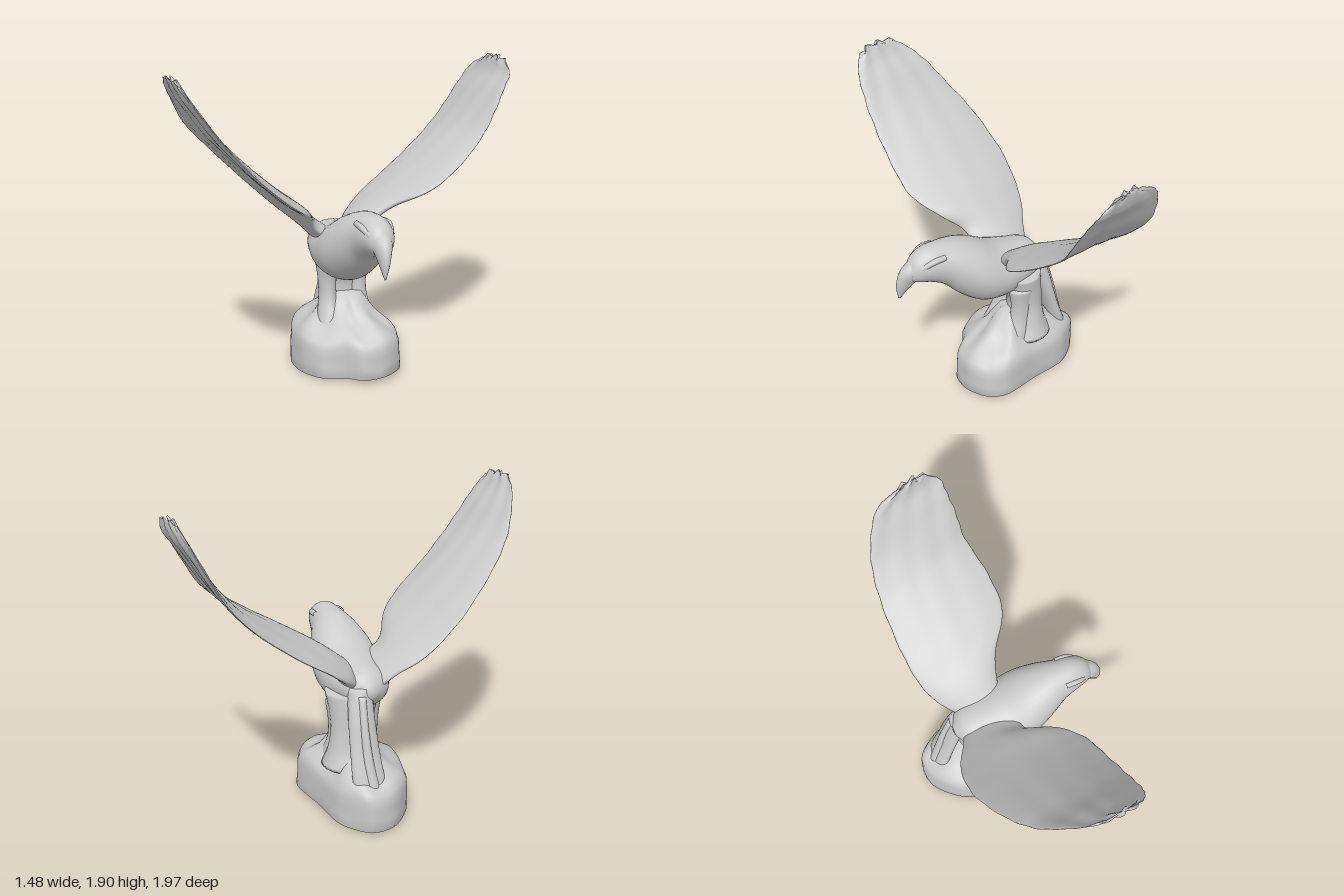
import * as THREE from 'three';

const V = (x, y, z) => new THREE.Vector3(x, y, z);
const material = new THREE.MeshStandardMaterial({ color: 0xcccccc, side: THREE.DoubleSide });
// Horizontal heading of the bird and the direction across it
const forward = V(0.77, 0, 0.64).normalize();
const across = V(-0.64, 0, 0.77).normalize();
const up = V(0, 1, 0);

// Skin a list of equal-sized closed rings, cap both ends, and turn faces outward
function loft(name, rings) {
  const n = rings[0].length, pts = rings.flat(), index = [];
  for (let i = 0; i < rings.length - 1; i++) {
    for (let j = 0; j < n; j++) {
      const a = i * n + j, b = i * n + (j + 1) % n;
      index.push(a, b, a + n, b, b + n, a + n);
    }
  }
  [0, rings.length - 1].forEach((r, end) => {
    const c = rings[r].reduce((s, p) => s.add(p), V(0, 0, 0)).divideScalar(n);
    const k = pts.push(c) - 1;
    for (let j = 0; j < n; j++) {
      const a = r * n + j, b = r * n + (j + 1) % n;
      index.push(...(end ? [a, b, k] : [b, a, k]));
    }
  });
  let volume = 0;
  for (let i = 0; i < index.length; i += 3) {
    volume += pts[index[i]].dot(pts[index[i + 1]].clone().cross(pts[index[i + 2]]));
  }
  if (volume < 0) index.reverse();
  const geo = new THREE.BufferGeometry().setFromPoints(pts);
  geo.setIndex(index);
  geo.computeVertexNormals();
  const mesh = new THREE.Mesh(geo, material);
  mesh.name = name;
  return mesh;
}

// Elliptical ring around c with half-axes a and b
function ellipse(c, a, b, n = 24) {
  return Array.from({ length: n }, (_, i) => {
    const t = (i / n) * Math.PI * 2;
    return c.clone().addScaledVector(a, Math.cos(t)).addScaledVector(b, Math.sin(t));
  });
}

// Interpolate rows of numbers smoothly, five at a time
function smoothRows(rows, steps) {
  const cols = rows[0].map((_, k) => new THREE.CatmullRomCurve3(rows.map((r, i) => V(i, r[k], 0)), false, 'catmullrom', 0.5));
  return Array.from({ length: steps + 1 }, (_, i) => cols.map((c) => c.getPoint(i / steps).y));
}

// Rows: x, y, z, half-size across, half-size along the second axis
function limb(name, rows, second, steps = 24) {
  return loft(name, smoothRows(rows, steps).map(([x, y, z, w, h]) =>
    ellipse(V(x, y, z), across.clone().multiplyScalar(w), second.clone().multiplyScalar(h))));
}

// Wing rows: upper edge x, y, z then lower edge x, y, z, from root to tip
function wing(name, rows, sign) {
  const steps = 56, m = 22;
  const rings = smoothRows(rows, steps).map((r, i) => {
    const t = i / steps;
    const a = V(r[0], r[1], r[2]), b = V(r[3], r[4], r[5]);
    const chord = b.clone().sub(a);
    const q = Math.min(7.999, t * 8), k = Math.floor(q);
    const mid = (row) => V(row[0] + row[3], row[1] + row[4], row[2] + row[5]);
    const span = mid(rows[k + 1]).sub(mid(rows[k])).normalize();
    const normal = chord.clone().cross(span).normalize().multiplyScalar(sign);
    const thick = 0.012 + 0.05 * Math.pow(1 - t, 3);
    // Ragged feather tips along both edges
    const rag = 0.008 * Math.sin(t * 70) * t;
    const ring = [];
    for (let j = 0; j < m * 2; j++) {
      const ang = (j / (m * 2)) * Math.PI * 2;
      const u = 0.5 - 0.5 * Math.cos(ang);
      const bow = 0.025 * Math.sin(u * Math.PI) * Math.sin(Math.PI * Math.min(1, t * 1.2));
      const feather = 0.004 * Math.sin(u * 22 + t * 9) * t;
      const p = a.clone().addScaledVector(chord, u + rag * Math.sign(u - 0.5));
      p.addScaledVector(normal, bow + feather + thick * Math.sin(ang));
      p.addScaledVector(span, 0.02 * Math.pow(t, 12) * (Math.sin(u * 19) + 1.2 * Math.sin(u * Math.PI)));
      ring.push(p);
    }
    return ring;
  });
  return loft(name, rings);
}

// Hollow rock with a lumpy outline and a rounded shoulder
function rock() {
  const outline = [[0.335, -0.08], [0.27, -0.2], [0.06, -0.31], [-0.15, -0.43], [-0.36, -0.43], [-0.45, -0.3],
    [-0.43, -0.1], [-0.33, 0.08], [-0.2, 0.18], [-0.04, 0.22], [0.09, 0.17], [0.22, 0.16], [0.31, 0.06]];
  const curve = new THREE.CatmullRomCurve3(outline.map(([x, z]) => V(x, 0, z)), true, 'catmullrom', 0.4);
  const edge = curve.getPoints(64).slice(0, 64);
  // Scale of the outline and height, from inside the hollow, over the rim, to the top
  const profile = [[0.1, 0.2], [0.6, 0.19], [0.8, 0.14], [0.88, 0.02], [0.94, 0.003], [1.0, 0.012], [0.99, 0.08],
    [0.985, 0.15], [0.98, 0.2], [0.94, 0.24], [0.85, 0.275], [0.7, 0.31], [0.55, 0.35], [0.42, 0.42], [0.3, 0.48]];
  return loft('rockBase', profile.map(([s, y], i) => edge.map((p, j) => {
    const lump = i > 5 && i < 13 ? 0.012 * Math.sin(j * 0.59 + i * 0.4) : 0;
    const x = -0.08 + (p.x + 0.08) * (s + lump), z = -0.15 + (p.z + 0.15) * (s + lump);
    return V(x, y + lump + Math.max(0, x + 0.2) * 0.05 * (1 - y * 2), z);
  })));
}

export function createModel() {
  const model = new THREE.Group();
  model.name = 'birdOnRock';
  model.add(rock());

  // Body, neck and head: distance along heading, centre height, half height, half width
  const body = [[-0.33, 0.79, 0.03, 0.03], [-0.26, 0.79, 0.11, 0.13], [-0.12, 0.785, 0.15, 0.18], [0, 0.79, 0.18, 0.2],
    [0.13, 0.835, 0.205, 0.2], [0.25, 0.9, 0.185, 0.165], [0.35, 0.96, 0.14, 0.122], [0.44, 0.985, 0.115, 0.1],
    [0.51, 0.98, 0.088, 0.078], [0.55, 0.965, 0.055, 0.048], [0.57, 0.95, 0.01, 0.01]];
  model.add(loft('bodyAndHead', smoothRows(body, 48).map(([t, y, h, w]) =>
    ellipse(forward.clone().multiplyScalar(t).setY(y), across.clone().multiplyScalar(w), up.clone().multiplyScalar(h), 32))));

  // Hooked beak
  const hook = forward.clone().multiplyScalar(0.85).setY(0.5);
  model.add(limb('beak', [[0.36, 1.0, 0.3, 0.06, 0.075], [0.405, 0.955, 0.345, 0.055, 0.07], [0.43, 0.905, 0.375, 0.038, 0.058],
    [0.447, 0.85, 0.398, 0.022, 0.036], [0.455, 0.79, 0.41, 0.004, 0.008]], hook));

  // Brow ridges either side of the head
  for (const side of [-1, 1]) {
    const path = [[0.36, 1.05, 0.085], [0.43, 1.045, 0.085], [0.5, 1.01, 0.062]].map(([t, y, w]) =>
      forward.clone().multiplyScalar(t).setY(y).addScaledVector(across, w * side));
    const brow = new THREE.Mesh(new THREE.TubeGeometry(new THREE.CatmullRomCurve3(path), 12, 0.018, 8), material);
    brow.name = side > 0 ? 'rightBrow' : 'leftBrow';
    model.add(brow);
  }

  // Central support and the two legs in front of it
  model.add(limb('support', [[-0.1, 0.3, -0.17, 0.19, 0.17], [-0.1, 0.4, -0.18, 0.15, 0.12], [-0.1, 0.52, -0.18, 0.13, 0.1],
    [-0.09, 0.64, -0.16, 0.14, 0.12], [-0.08, 0.76, -0.13, 0.17, 0.14]], forward));
  for (const side of [-1, 1]) {
    const rows = [[0.06, 0.25, 0.1, 0.1], [0.02, 0.35, 0.075, 0.085], [-0.01, 0.45, 0.055, 0.07], [-0.02, 0.56, 0.055, 0.07],
      [-0.02, 0.68, 0.07, 0.09]].map(([t, y, w, h]) => {
      const p = forward.clone().multiplyScalar(t - 0.11).addScaledVector(across, side * 0.1 - 0.04);
      return [p.x, y, p.z, w, h];
    });
    model.add(limb(side > 0 ? 'rightLeg' : 'leftLeg', rows, forward));
  }

  // Tail hanging down behind to the rock, with a raised quill ridge
  model.add(limb('tail', [[-0.16, 0.82, -0.2, 0.07, 0.07], [-0.2, 0.65, -0.25, 0.08, 0.055], [-0.245, 0.45, -0.29, 0.09, 0.045],
    [-0.29, 0.28, -0.32, 0.1, 0.05], [-0.34, 0.13, -0.33, 0.1, 0.05], [-0.385, 0.02, -0.335, 0.09, 0.04]], forward));
  model.add(limb('tailRidge', [[-0.2, 0.78, -0.25, 0.025, 0.03], [-0.24, 0.6, -0.29, 0.025, 0.03], [-0.285, 0.4, -0.32, 0.03, 0.03],
    [-0.34, 0.22, -0.34, 0.035, 0.03], [-0.4, 0.02, -0.35, 0.035, 0.03]], forward));

  // Raised wings
  model.add(wing('rightWing', [[-0.2, 0.74, -0.17, 0, 0.86, 0.08], [-0.33, 0.87, -0.1, -0.09, 0.95, 0.2],
    [-0.5, 1.0, -0.02, -0.04, 1.07, 0.36], [-0.64, 1.2, 0.14, -0.05, 1.17, 0.54], [-0.72, 1.42, 0.36, -0.15, 1.34, 0.71],
    [-0.74, 1.58, 0.54, -0.25, 1.53, 0.85], [-0.72, 1.72, 0.67, -0.33, 1.7, 0.94], [-0.68, 1.82, 0.78, -0.38, 1.79, 0.97],
    [-0.63, 1.87, 0.84, -0.43, 1.85, 0.975]], -1));
  model.add(wing('leftWing', [[0.08, 0.9, -0.08, -0.15, 0.8, -0.2], [0.22, 1.03, -0.17, -0.17, 0.9, -0.36],
    [0.45, 1.14, -0.24, -0.14, 1.0, -0.5], [0.57, 1.27, -0.4, -0.04, 1.13, -0.67], [0.64, 1.42, -0.58, 0.1, 1.31, -0.85],
    [0.69, 1.57, -0.66, 0.21, 1.48, -0.95], [0.72, 1.7, -0.73, 0.31, 1.66, -0.985], [0.735, 1.78, -0.78, 0.4, 1.79, -0.98],
    [0.68, 1.84, -0.83, 0.5, 1.85, -0.93]], -1));
  return model;
}
